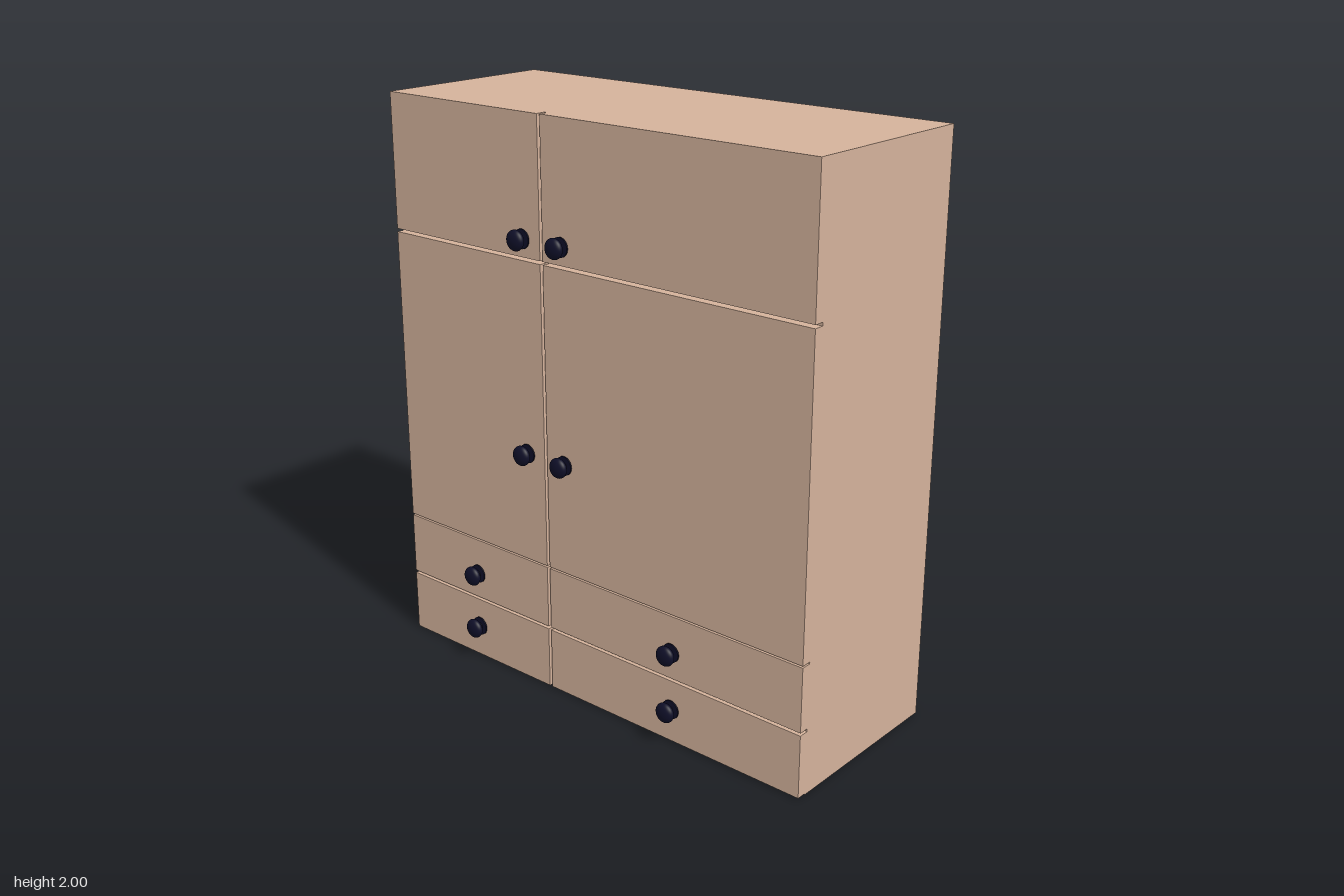
import * as THREE from 'three';

const wood = new THREE.MeshStandardMaterial({ color: 0xd4b29b });
const dark = new THREE.MeshStandardMaterial({ color: 0x0f0f28 });

// Box given by its lower and upper corners
function box(name, [x0, y0, z0], [x1, y1, z1]) {
  const mesh = new THREE.Mesh(new THREE.BoxGeometry(x1 - x0, y1 - y0, z1 - z0), wood);
  mesh.name = name;
  mesh.position.set((x0 + x1) / 2, (y0 + y1) / 2, (z0 + z1) / 2);
  return mesh;
}

// Knob pointing along +z: base plate, slim stem and flattened ball
function knob(x, y) {
  const group = new THREE.Group();
  group.name = 'knob';
  const add = (name, geometry, z) => {
    const mesh = new THREE.Mesh(geometry, dark);
    mesh.name = name;
    mesh.position.z = z;
    group.add(mesh);
  };
  add('knobPlate', new THREE.CylinderGeometry(0.033, 0.033, 0.005, 32).rotateX(Math.PI / 2), 0.0095);
  add('knobStem', new THREE.CylinderGeometry(0.014, 0.014, 0.03, 20).rotateX(Math.PI / 2), 0.015);
  add('knobBall', new THREE.SphereGeometry(0.035, 32, 20).scale(1, 1, 0.56), 0.037);
  group.position.set(x, y, 0.313);
  return group;
}

export function createModel() {
  const model = new THREE.Group();
  model.name = 'wardrobe';

  const W = 0.875, back = -0.37, seam = 0.278, front = 0.313;
  model.add(box('carcass', [-W, 0, back], [W, 2, seam]));

  // Door and drawer fronts, separated by narrow grooves
  const columns = [[-W, -0.19], [-0.178, W]];
  const rows = [
    ['lowerDrawerFront', 0.004, 0.225],
    ['upperDrawerFront', 0.235, 0.459],
    ['tallDoor', 0.465, 1.521],
    ['topDoor', 1.532, 2],
  ];
  for (const [x0, x1] of columns)
    for (const [name, y0, y1] of rows)
      model.add(box(name, [x0, y0, seam], [x1, y1, front]));

  // Door knobs beside the seam, drawer knobs at the drawer centres
  for (const y of [0.86, 1.595]) for (const x of [-0.262, -0.093]) model.add(knob(x, y));
  for (const y of [0.126, 0.333]) for (const x of [-0.527, 0.366]) model.add(knob(x, y));

  return model;
}
